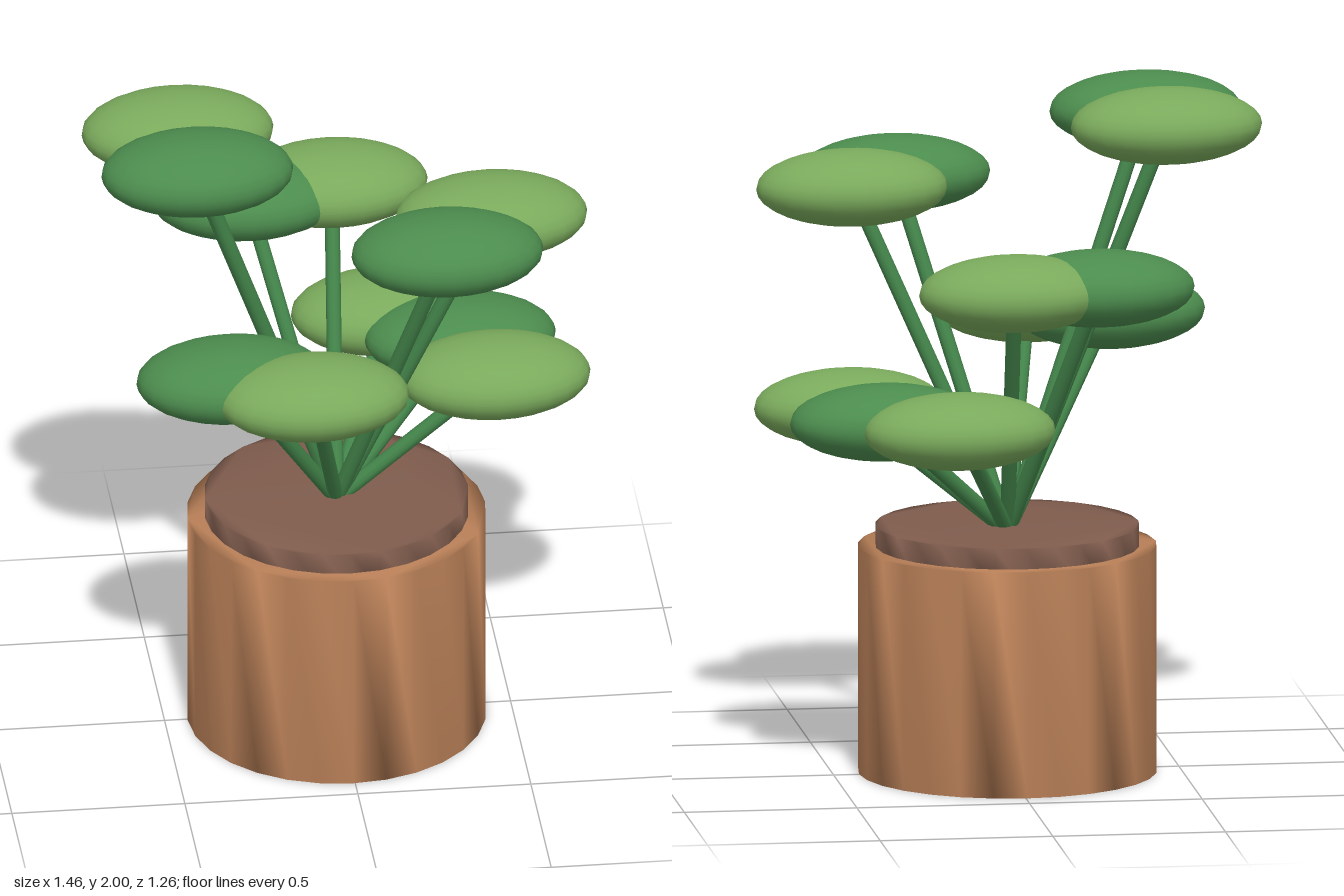
import * as THREE from 'three';
import { mergeVertices } from 'three/addons/utils/BufferGeometryUtils.js';

const material = (name, color) => {
  const m = new THREE.MeshStandardMaterial({ color });
  m.name = name;
  return m;
};

// Upright disc with soft normals shared between the wall and the caps
function softDrum(radius, bottom, top, sides = 28) {
  const points = [];
  for (let i = 0; i < sides; i++) {
    const a = (i / sides) * Math.PI * 2;
    points.push(new THREE.Vector2(Math.cos(a) * radius, Math.sin(a) * radius));
  }
  let geometry = new THREE.ExtrudeGeometry(new THREE.Shape(points), {
    depth: top - bottom,
    bevelEnabled: false,
  });
  geometry.rotateX(-Math.PI / 2).translate(0, bottom, 0);
  geometry.deleteAttribute('normal');
  geometry.deleteAttribute('uv');
  geometry.clearGroups();
  geometry = mergeVertices(geometry);
  geometry.computeVertexNormals();
  return geometry;
}

export function createModel() {
  const clay = material('clay', 0xb87f57);
  const earth = material('earth', 0x7f5c4d);
  const stemGreen = material('stem green', 0x43844a);
  const darkLeaf = material('dark leaf green', 0x4c8c4e);
  const lightLeaf = material('light leaf green', 0x7aaa5c);

  const plant = new THREE.Group();
  plant.name = 'pottedPlant';
  const add = (name, geometry, mat) => {
    const mesh = new THREE.Mesh(geometry, mat);
    mesh.name = name;
    plant.add(mesh);
    return mesh;
  };

  // Pot and soil
  add('pot', softDrum(0.43, 0, 0.66), clay);
  add('soil', softDrum(0.38, 0.6, 0.72), earth);

  // Stems fan out by the golden angle, rising through five tiers of leaves
  const leafGeometry = new THREE.SphereGeometry(1, 24, 16).scale(0.277, 0.11, 0.184);
  const base = new THREE.Vector3(0, 0.7, 0);
  const up = new THREE.Vector3(0, 1, 0);
  for (let i = 0; i < 11; i++) {
    const angle = i * 2.4;
    const tip = new THREE.Vector3(
      Math.cos(angle) * 0.457,
      1.075 + (i % 5) * 0.2035,
      Math.sin(angle) * 0.457
    );
    const along = tip.clone().sub(base);

    const stem = add('stem', new THREE.CylinderGeometry(0.022, 0.022, along.length(), 10), stemGreen);
    stem.position.copy(base).add(tip).multiplyScalar(0.5);
    stem.quaternion.setFromUnitVectors(up, along.normalize());

    add('leaf', leafGeometry, i % 2 ? darkLeaf : lightLeaf).position.copy(tip);
  }

  // Centre the footprint
  plant.children.forEach((part) => {
    part.position.x -= 0.004;
    part.position.z += 0.006;
  });
  return plant;
}
